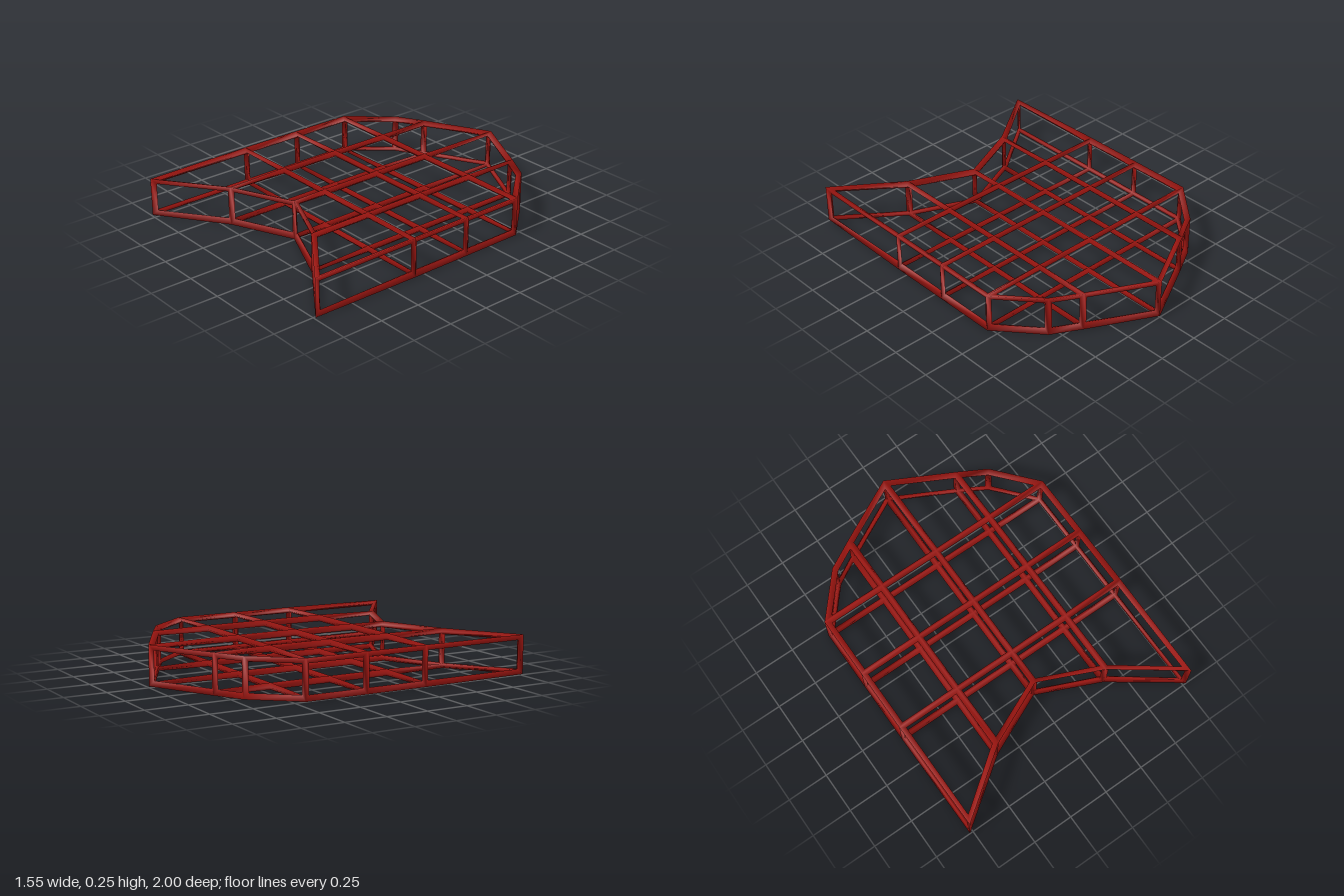
import * as THREE from 'three';

const HALF = 0.02;               // half thickness of a strut
const LOW = 0.02, HIGH = 0.23;   // heights of the two lattices

// Plan of one lattice: 5 rows (back to front), each mirrored about x = 0.
// Each row lists [x, z] for the outer, middle and centre node.
const ROWS = [
  [[0.55, -0.69], [0.382, -0.783], [0, -0.984]],
  [[0.763, -0.443], [0.382, -0.443], [0, -0.443]],
  [[0.763, -0.064], [0.382, -0.064], [0, -0.064]],
  [[0.763, 0.321], [0.382, 0.321], [0, 0.321]],
  [[0.763, 0.985], [0.382, 0.703], [0, 0.535]],
];
const N = 5;

// Nodes 0-24 are the upper lattice, 25-49 the lower one.
function makeNodes() {
  const nodes = [];
  for (const y of [HIGH, LOW]) {
    for (const [o, m, c] of ROWS) {
      for (const [x, z] of [[-o[0], o[1]], [-m[0], m[1]], c, m, o]) nodes.push(new THREE.Vector3(x, y, z));
    }
  }
  return nodes;
}

// Four-sided cells of the closed cage, wound counter-clockwise from outside.
function makeCells() {
  const id = (r, c) => r * N + c;
  const down = N * N;
  const cells = [];
  for (let r = 0; r < N - 1; r++) {
    for (let c = 0; c < N - 1; c++) {
      const top = [id(r, c), id(r + 1, c), id(r + 1, c + 1), id(r, c + 1)];
      cells.push(top, top.map((i) => i + down).reverse());
    }
  }
  const rim = [];
  const e = N - 1;
  for (let k = 0; k < e; k++) rim.push(id(k, 0));
  for (let k = 0; k < e; k++) rim.push(id(e, k));
  for (let k = e; k > 0; k--) rim.push(id(k, e));
  for (let k = e; k > 0; k--) rim.push(id(0, k));
  rim.forEach((a, k) => {
    const b = rim[(k + 1) % rim.length];
    cells.push([b, a, a + down, b + down]);
  });
  return cells;
}

export function createModel() {
  const nodes = makeNodes();
  const cells = makeCells();
  const normals = nodes.map(() => new THREE.Vector3());
  const dir = (a, b) => nodes[b].clone().sub(nodes[a]).normalize();

  // Corner points inset into each cell, and angle-weighted node normals
  const insets = cells.map((cell) => cell.map((v, k) => {
    const toNext = dir(v, cell[(k + 1) % 4]);
    const toPrev = dir(v, cell[(k + 3) % 4]);
    const angle = toNext.angleTo(toPrev);
    normals[v].addScaledVector(toNext.clone().cross(toPrev).normalize(), angle);
    return toNext.add(toPrev).multiplyScalar(HALF / Math.sin(angle)).add(nodes[v]);
  }));
  normals.forEach((n) => n.normalize());

  // Shared points: outer ridge, inner ridge, then the cell insets
  const points = [
    ...nodes.map((p, i) => p.clone().addScaledVector(normals[i], HALF)),
    ...nodes.map((p, i) => p.clone().addScaledVector(normals[i], -HALF)),
    ...insets.flat(),
  ];

  // Each cell side carries half a strut: one outer and one inner strip
  const parts = { upperLattice: [], lowerLattice: [], uprights: [] };
  const count = nodes.length;
  const quad = (list, a, b, c, d) => list.push(a, b, c, a, c, d);
  cells.forEach((cell, f) => {
    for (let k = 0; k < 4; k++) {
      const n = (k + 1) % 4;
      const i = cell[k], j = cell[n];
      const si = 2 * count + f * 4 + k, sj = 2 * count + f * 4 + n;
      const upperI = i < N * N, upperJ = j < N * N;
      const list = upperI !== upperJ ? parts.uprights : upperI ? parts.upperLattice : parts.lowerLattice;
      quad(list, i, j, sj, si);
      quad(list, count + j, count + i, si, sj);
    }
  });

  // Smooth normals are taken over the whole cage so the joints blend
  const whole = new THREE.BufferGeometry().setFromPoints(points);
  whole.setIndex(Object.values(parts).flat());
  whole.computeVertexNormals();

  const material = new THREE.MeshStandardMaterial({ color: 0x9c1510 });
  const group = new THREE.Group();
  group.name = 'latticeFrame';
  for (const [name, index] of Object.entries(parts)) {
    const geometry = new THREE.BufferGeometry();
    geometry.setAttribute('position', whole.getAttribute('position'));
    geometry.setAttribute('normal', whole.getAttribute('normal'));
    geometry.setIndex(index);
    const mesh = new THREE.Mesh(geometry, material);
    mesh.name = name;
    group.add(mesh);
  }
  return group;
}
